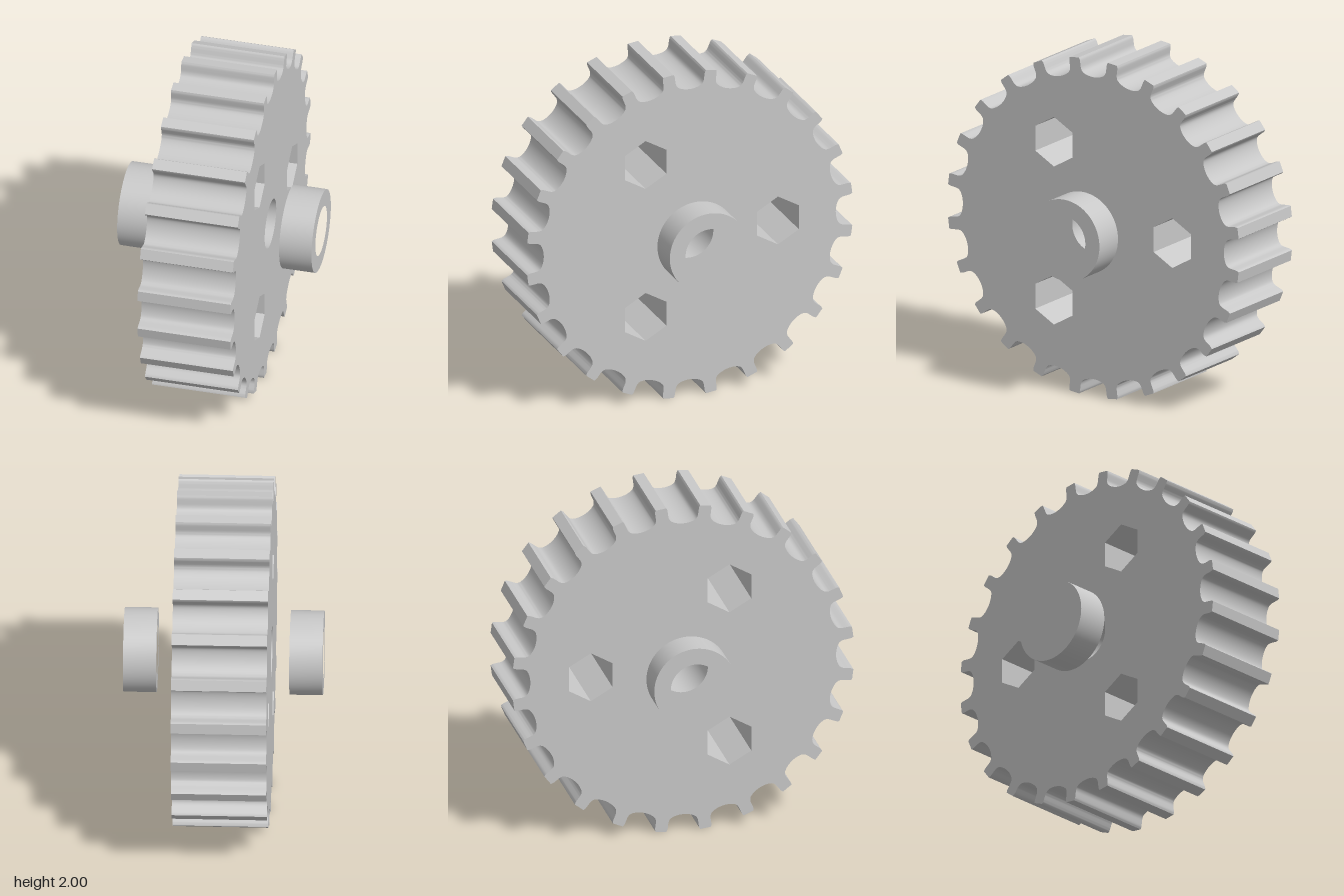
import * as THREE from 'three';
import { toCreasedNormals } from 'three/addons/utils/BufferGeometryUtils.js';

const TEETH = 24;
const BORE = 0.145;

// Circular or polygonal hole
function hole(cx, cy, r, sides, start = 0) {
  const pts = [];
  for (let i = 0; i < sides; i++) {
    const a = start - (i / sides) * Math.PI * 2;
    pts.push(new THREE.Vector2(cx + r * Math.cos(a), cy + r * Math.sin(a)));
  }
  return new THREE.Path(pts);
}

// Extrude a profile along the axle (x), centred on x = 0
function axleExtrude(shape, width) {
  const geo = new THREE.ExtrudeGeometry(shape, { depth: width, bevelEnabled: false, curveSegments: 32 });
  geo.translate(0, 0, -width / 2);
  geo.rotateY(Math.PI / 2);
  return toCreasedNormals(geo, 0.65);
}

// Toothed outline: one rounded valley repeated around the wheel
function wheelShape() {
  const half = [[0.1, 1.0], [0.093, 0.986], [0.089, 0.96], [0.085, 0.937], [0.072, 0.917], [0.04, 0.903]];
  const valley = new THREE.SplineCurve([
    ...half.map(([t, r]) => new THREE.Vector2(-t, r)),
    new THREE.Vector2(0, 0.898),
    ...half.slice().reverse().map(([t, r]) => new THREE.Vector2(t, r)),
  ]).getPoints(36);
  const pts = [];
  for (let i = 0; i < TEETH; i++) {
    const a = (i / TEETH) * Math.PI * 2;
    for (const p of valley) pts.push(p.clone().rotateAround(new THREE.Vector2(), -a));
  }
  return new THREE.Shape(pts.reverse());
}

export function createModel() {
  const model = new THREE.Group();
  model.name = 'timingPulley';
  const grey = new THREE.MeshStandardMaterial({ name: 'lightGrey', color: 0xc8c8c8 });

  // Toothed wheel with bore and three hexagonal holes
  const shape = wheelShape();
  shape.holes.push(hole(0, 0, BORE, 64));
  for (let i = 0; i < 3; i++) {
    const a = (i * Math.PI * 2) / 3;
    shape.holes.push(hole(0.543 * Math.cos(a), 0.543 * Math.sin(a), 0.148, 6, Math.PI / 2));
  }
  const wheel = new THREE.Mesh(axleExtrude(shape, 0.545), grey);
  wheel.name = 'toothedWheel';
  wheel.position.y = 1;
  model.add(wheel);

  // Collar ring standing off each side
  const ring = new THREE.Shape(hole(0, 0, 0.242, 64).getPoints());
  ring.holes.push(hole(0, 0, BORE, 64));
  const ringGeo = axleExtrude(ring, 0.19);
  for (const side of [-1, 1]) {
    const collar = new THREE.Mesh(ringGeo, grey);
    collar.name = side > 0 ? 'leftCollar' : 'rightCollar';
    collar.position.set(side * 0.475, 1, 0);
    model.add(collar);
  }
  return model;
}
